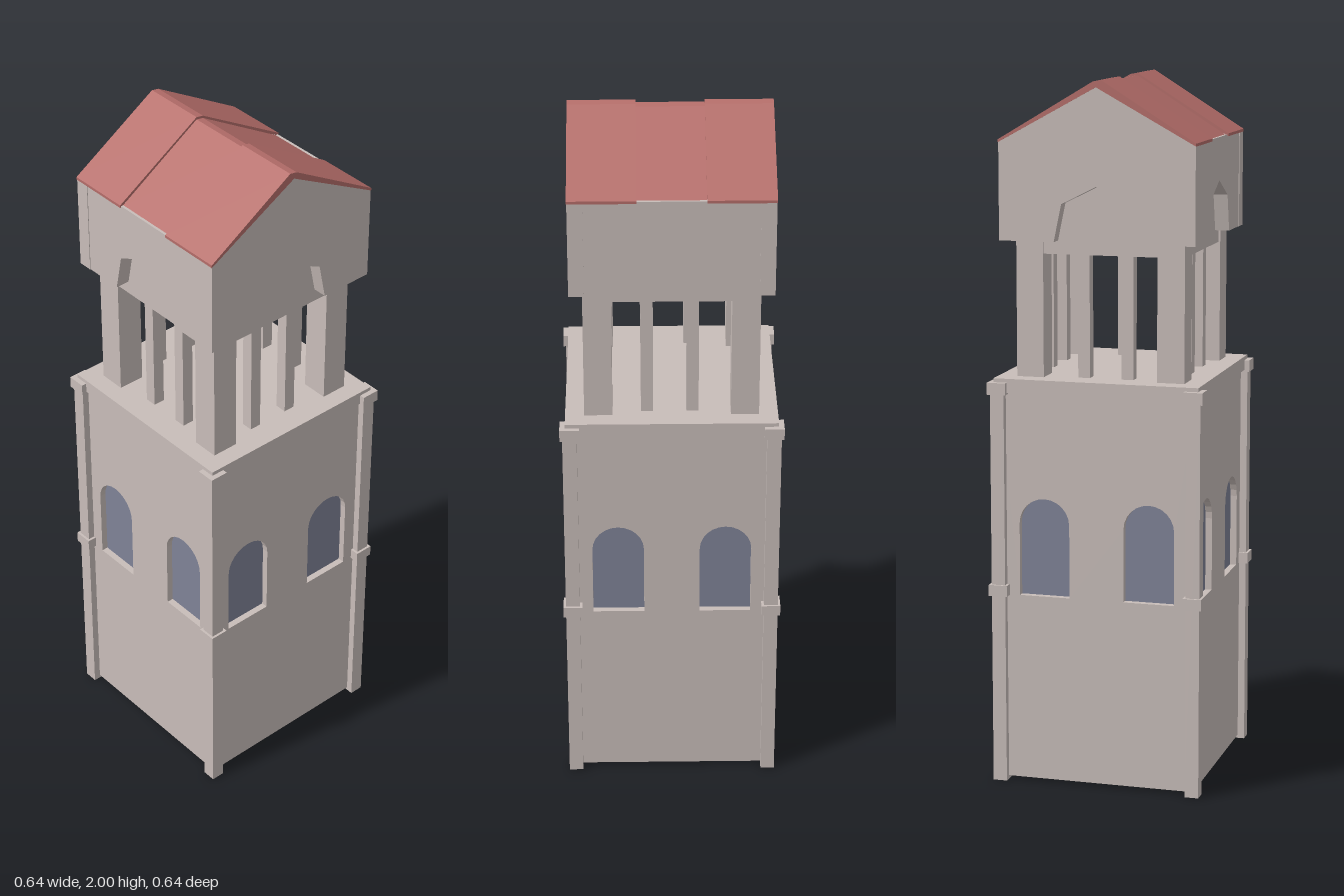
import * as THREE from 'three';

const mat = (color) => new THREE.MeshStandardMaterial({ color, flatShading: true });

export function createModel() {
  const root = new THREE.Group();
  root.name = 'bellTower';
  const tower = new THREE.Group();
  tower.name = 'tower';
  tower.rotation.y = 0.026; // whole tower stands slightly turned
  root.add(tower);

  const stone = mat(0xc8bdb9), tile = mat(0xb56e6a), glass = mat(0x7f8397);

  const add = (name, geo, material, parent = tower) => {
    const m = new THREE.Mesh(geo, material);
    m.name = name;
    parent.add(m);
    return m;
  };
  // box from half widths and bottom / top heights
  const block = (name, x, z, hx, hz, y0, y1) => {
    const m = add(name, new THREE.BoxGeometry(hx * 2, y1 - y0, hz * 2), stone);
    m.position.set(x, (y0 + y1) / 2, z);
    return m;
  };
  const poly = (pts) => new THREE.Shape(pts.map(([x, y]) => new THREE.Vector2(x, y)));
  const extrude = (shape, depth) =>
    new THREE.ExtrudeGeometry(shape, { depth, bevelEnabled: false, curveSegments: 6 });

  // round-headed window outline
  const archWindow = (cx, Type) => {
    const r = 0.073, p = new Type();
    p.moveTo(cx - r, 0.548);
    p.lineTo(cx + r, 0.548);
    p.lineTo(cx + r, 0.757);
    p.absarc(cx, 0.757, r, 0, Math.PI, false);
    p.closePath();
    return p;
  };

  // lower shaft: core, four pierced walls and recessed panes
  block('shaftCore', 0, 0, 0.262, 0.262, 0.012, 1.13);
  for (let i = 0; i < 4; i++) {
    const side = new THREE.Group();
    side.name = 'shaftSide';
    side.rotation.y = i * Math.PI / 2;
    tower.add(side);
    const wall = poly([[-0.283, 0.01], [0.283, 0.01], [0.283, 1.13], [-0.283, 1.13]]);
    for (const x of [-0.152, 0.152]) {
      wall.holes.push(archWindow(x, THREE.Path));
      const pane = add('windowPane', new THREE.ShapeGeometry(archWindow(x, THREE.Shape), 6), glass, side);
      pane.position.z = 0.264;
    }
    add('shaftWall', extrude(wall, 0.022), stone, side).position.z = 0.261;
  }

  // platform
  block('platform', 0, 0, 0.295, 0.295, 1.13, 1.17);

  // corner posts with bands, and belfry corner pillars
  for (const sx of [-1, 1]) for (const sz of [-1, 1]) {
    const x = sx * 0.283, z = sz * 0.283;
    block('cornerPost', x, z, 0.02, 0.02, 0, 1.13);
    block('middleBand', x, z, 0.027, 0.027, 0.546, 0.578);
    block('topBand', x, z, 0.027, 0.027, 1.125, 1.159);
    block('belfryPillar', sx * 0.203, sz * 0.203, 0.039, 0.039, 1.17, 1.56);
  }

  // slender columns between the pillars
  for (const s of [-1, 1]) for (const t of [-1, 1]) {
    block('slenderColumn', 0.005 + t * 0.063, s * 0.203, 0.017, 0.017, 1.17, 1.52);
    block('slenderColumn', s * 0.203, 0.01 + t * 0.063, 0.017, 0.017, 1.17, 1.52);
  }

  // belfry head: core, walls with arch notches, gabled at both ends
  block('headCore', 0, 0, 0.237, 0.237, 1.517, 1.825);
  const notch = [[-0.122, 1.555], [-0.1, 1.66], [0, 1.71], [0.1, 1.66], [0.122, 1.555]];
  const headWall = (w, top) => poly([[-w, 1.555], ...notch, [w, 1.555], ...top]);
  for (let i = 0; i < 4; i++) {
    const gable = i % 2 === 1;
    const shape = gable
      ? headWall(0.28, [[0.28, 1.831], [0, 1.99], [-0.28, 1.831]])
      : headWall(0.238, [[0.238, 1.831], [-0.238, 1.831]]);
    const side = new THREE.Group();
    side.name = 'headSide';
    side.rotation.y = i * Math.PI / 2;
    tower.add(side);
    add(gable ? 'gableWall' : 'headWall', extrude(shape, 0.042), stone, side).position.z = 0.236;
  }

  // roof in three strips, the middle one set slightly lower
  for (let i = -1; i <= 1; i++) {
    const d = i === 0 ? 0.007 : 0;
    const e = 0.281 - d * 0.6;
    const profile = poly([
      [-e, 1.834 - d], [-0.014, 2 - d], [0.008, 1.996 - d], [e, 1.834 - d],
      [e, 1.826], [0, 1.98], [-e, 1.826],
    ]);
    const strip = add('roofStrip', extrude(profile, 0.186), tile);
    strip.rotation.y = Math.PI / 2;
    strip.position.x = i * 0.186 - 0.093;
  }
  return root;
}
